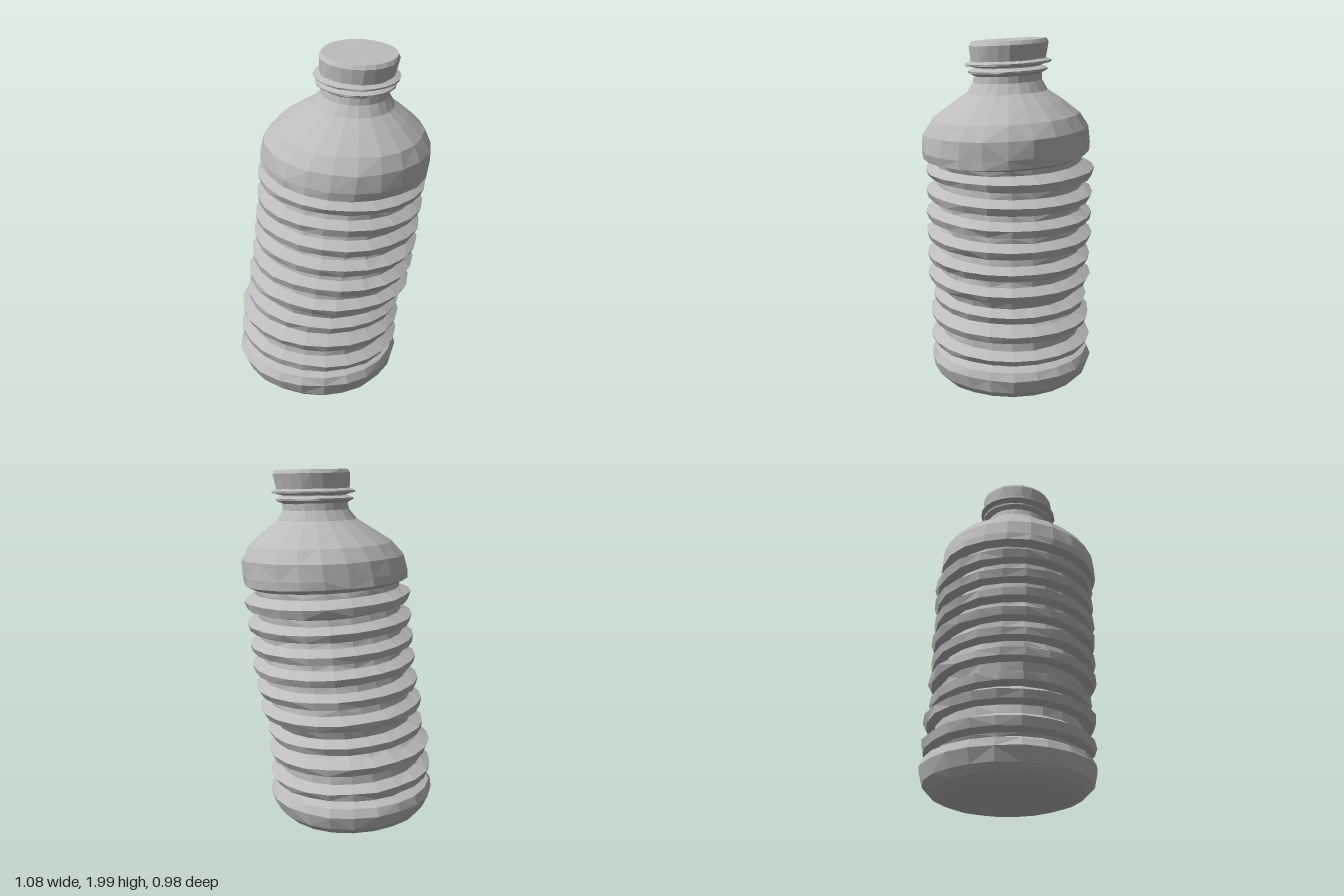
import * as THREE from 'three';

const SIDES = 22;

// Repeatable wobble in the range -1..1
let seed = 7;
function wobble() {
  seed = (seed * 16807) % 2147483647;
  return (seed / 2147483647) * 2 - 1;
}

// Straight-line lookup in a short table of [y, value]
function lookup(table, y) {
  for (let i = 1; i < table.length; i++) {
    const [y0, v0] = table[i - 1], [y1, v1] = table[i];
    if (y <= y1) return v0 + (v1 - v0) * Math.max(0, (y - y0) / (y1 - y0));
  }
  return table[table.length - 1][1];
}

// The leaning centre line and the tilt of the rings along it
const centreX = [[0, -0.07], [0.2, -0.07], [0.43, -0.055], [0.67, -0.005], [0.92, 0.035], [1.16, 0.055], [1.4, 0.08], [1.7, 0.125], [2, 0.158]];
const centreZ = [[0, -0.03], [0.3, -0.025], [0.8, 0], [1.3, 0.005], [1.4, 0.032], [2, 0.025]];
const tiltX = [[0, -0.03], [0.19, -0.02], [0.3, -0.06], [1.3, -0.06], [1.5, -0.03], [2, -0.015]];
const tiltZ = [[0, 0], [1.25, 0], [1.38, -0.06], [1.6, -0.05], [2, -0.06]];

// Skins a stack of [radius, y] rings, closing both ends with a fan
function ringSkin(rows, jitter) {
  const pos = [], index = [];
  const cx = (y) => lookup(centreX, y), cz = (y) => lookup(centreZ, y);
  rows.forEach(([r, y]) => {
    for (let j = 0; j < SIDES; j++) {
      const a = (j / SIDES) * Math.PI * 2;
      const rr = r * (1 + jitter * wobble());
      const dx = Math.sin(a) * rr, dz = Math.cos(a) * rr;
      const dy = lookup(tiltX, y) * dx + lookup(tiltZ, y) * dz + 0.25 * jitter * r * wobble();
      pos.push(cx(y) + dx, y + dy, cz(y) + dz);
    }
  });
  for (let i = 0; i < rows.length - 1; i++) {
    for (let j = 0; j < SIDES; j++) {
      const a = i * SIDES + j, b = i * SIDES + (j + 1) % SIDES;
      const c = a + SIDES, d = b + SIDES;
      if ((i + j) % 2) index.push(a, b, d, a, d, c);
      else index.push(a, b, c, b, d, c);
    }
  }
  const bottom = pos.length / 3, top = bottom + 1, last = (rows.length - 1) * SIDES;
  for (const [, y] of [rows[0], rows[rows.length - 1]]) pos.push(cx(y), y, cz(y));
  for (let j = 0; j < SIDES; j++) {
    const k = (j + 1) % SIDES;
    index.push(bottom, k, j, top, last + j, last + k);
  }
  const g = new THREE.BufferGeometry();
  g.setAttribute('position', new THREE.Float32BufferAttribute(pos, 3));
  g.setIndex(index);
  g.computeVertexNormals();
  return g;
}

export function createModel() {
  const group = new THREE.Group();
  const grey = new THREE.MeshStandardMaterial({ color: 0xbcbcbc, flatShading: true });
  grey.name = 'plain grey';

  const add = (name, rows, jitter) => {
    const mesh = new THREE.Mesh(ringSkin(rows, jitter), grey);
    mesh.name = name;
    group.add(mesh);
  };

  // Body: rounded foot, nine ribs, domed shoulder and neck
  const body = [[0.35, 0.022], [0.405, 0.045], [0.445, 0.085], [0.47, 0.16], [0.45, 0.205], [0.395, 0.225]];
  const ribs = [0.285, 0.425, 0.535, 0.67, 0.795, 0.92, 1.04, 1.16, 1.285];
  ribs.forEach((y, i) => {
    const r = i === 2 ? 0.445 : 0.465;
    body.push([r - 0.065, y - 0.045], [r - 0.015, y - 0.03], [r, y + 0.012], [r - 0.06, y + 0.045]);
  });
  body.push(
    [0.405, 1.355], [0.458, 1.375], [0.46, 1.42], [0.452, 1.51], [0.4, 1.585], [0.3, 1.66],
    [0.22, 1.715], [0.185, 1.77], [0.178, 1.85]
  );
  add('bottleBody', body, 0.012);

  // Thin rings around the neck
  add('neckFlange', [[0.18, 1.805], [0.212, 1.822], [0.214, 1.832], [0.18, 1.845]], 0.015);
  add('capCollar', [[0.18, 1.85], [0.23, 1.862], [0.232, 1.872], [0.19, 1.888]], 0.015);

  // Screw cap, slightly wider at the top
  add('cap', [[0.19, 1.872], [0.2, 1.882], [0.212, 1.965], [0.2, 1.985]], 0.012);
  return group;
}
